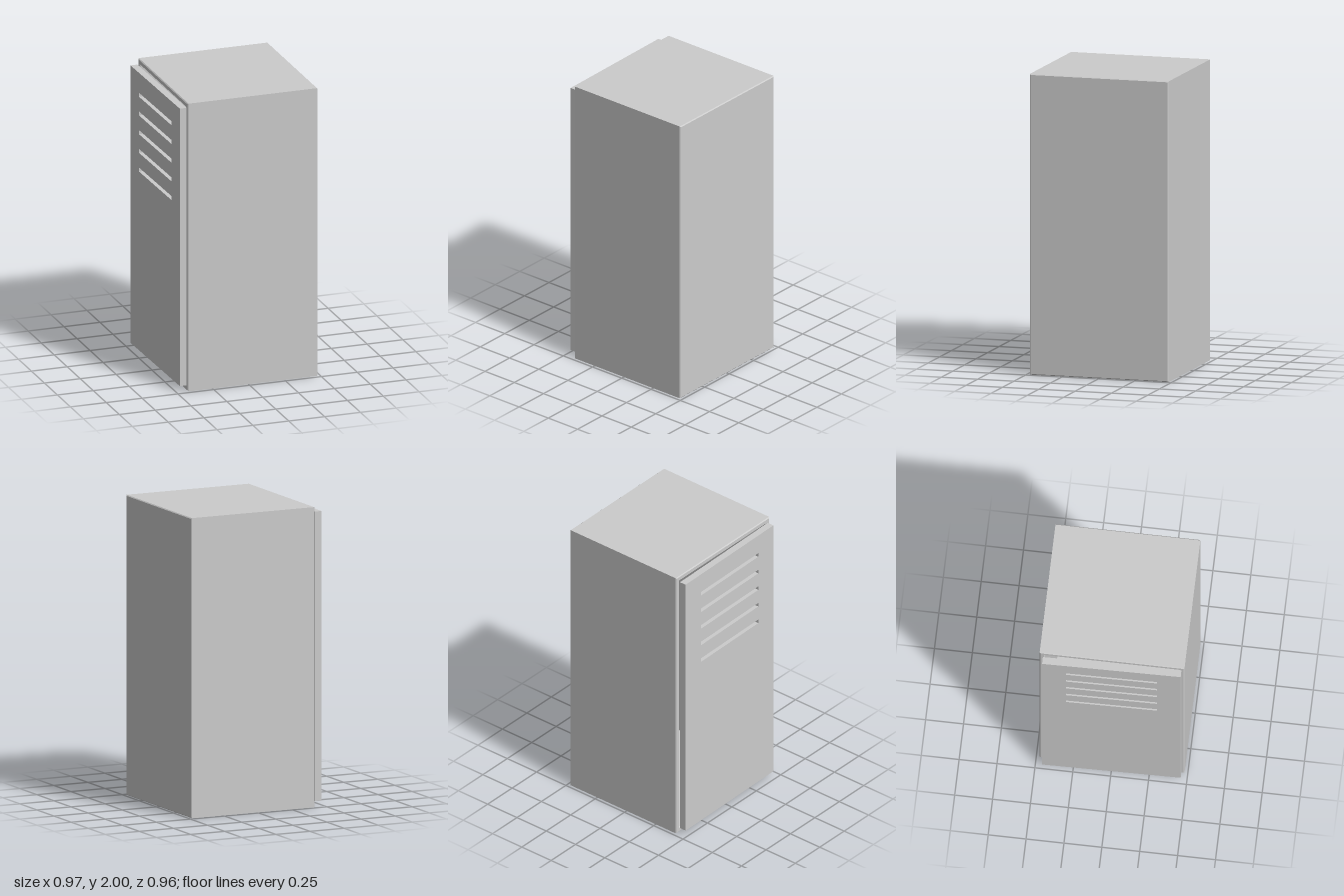
import * as THREE from 'three';

const material = new THREE.MeshStandardMaterial({ color: 0xcccccc, flatShading: true });

// Trace a rectangle in the side plane (u runs along -z after turning)
function rect(path, u0, v0, u1, v1) {
  path.moveTo(u0, v0);
  path.lineTo(u1, v0);
  path.lineTo(u1, v1);
  path.lineTo(u0, v1);
  path.closePath();
  return path;
}

// Extrude a side-plane shape along x, from x0 to x1, with an optional chamfer
function sidePanel(name, shape, x0, x1, bevel = 0) {
  const geometry = new THREE.ExtrudeGeometry(shape, {
    depth: x1 - x0 - 2 * bevel,
    bevelEnabled: bevel > 0,
    bevelSize: bevel,
    bevelThickness: bevel,
    bevelSegments: 1,
  });
  geometry.rotateY(Math.PI / 2);
  geometry.translate(x0 + bevel, 0, 0);
  const mesh = new THREE.Mesh(geometry, material);
  mesh.name = name;
  return mesh;
}

export function createModel() {
  const model = new THREE.Group();
  model.name = 'cabinet';

  const halfDepth = 0.478, height = 2, wall = 0.03, bevel = 0.006;

  // Hollow cabinet body, open behind the door
  const shell = rect(new THREE.Shape(), -halfDepth + bevel, bevel, halfDepth - bevel, height - bevel);
  shell.holes.push(rect(new THREE.Path(), -halfDepth + wall, wall, halfDepth - wall, height - wall));
  model.add(sidePanel('cabinetShell', shell, -0.424, 0.483, bevel));

  // Closed side opposite the door
  const closed = rect(new THREE.Shape(), -halfDepth + 0.015, 0.015, halfDepth - 0.015, height - 0.015);
  model.add(sidePanel('closedSide', closed, 0.455, 0.483));

  // Door, hinged at the front edge and slightly ajar
  const doorWidth = 0.913, doorBottom = 0.037, doorTop = 1.965;
  const doorShape = rect(new THREE.Shape(), 0, doorBottom, doorWidth, doorTop);

  // Ventilation slots
  for (let i = 0; i < 5; i++) {
    const y = 1.813 - i * 0.13;
    doorShape.holes.push(rect(new THREE.Path(), 0.157, y - 0.014, 0.756, y + 0.014));
  }
  const door = new THREE.Group();
  door.name = 'door';
  door.add(sidePanel('slottedDoorPanel', doorShape, -0.048, 0));
  door.position.set(-0.424, 0, 0.458);
  door.rotation.y = 0.0142;
  model.add(door);

  return model;
}
